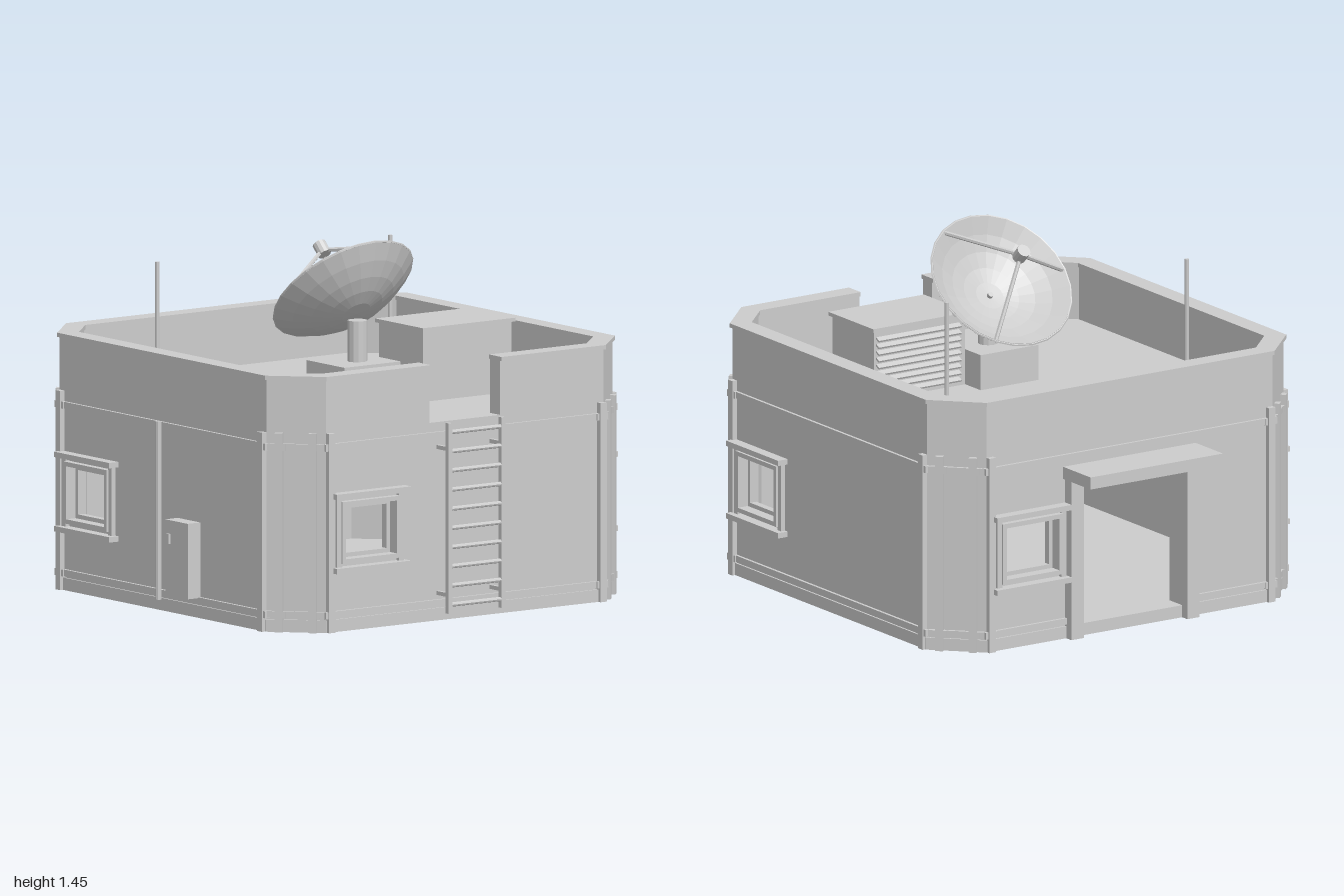
import * as THREE from 'three';

const HALF = 0.861, CHAMFER = 0.17; // octagonal plan
const concrete = new THREE.MeshStandardMaterial({ color: 0xcccccc });
concrete.name = 'concrete grey';
concrete.flatShading = true;
concrete.side = THREE.DoubleSide;

function add(parent, name, geo, x = 0, y = 0, z = 0) {
  const m = new THREE.Mesh(geo, concrete);
  m.name = name;
  m.position.set(x, y, z);
  parent.add(m);
  return m;
}

// Box given by its min and max on each axis
function box(parent, name, x0, x1, y0, y1, z0, z1) {
  return add(parent, name, new THREE.BoxGeometry(x1 - x0, y1 - y0, z1 - z0),
    (x0 + x1) / 2, (y0 + y1) / 2, (z0 + z1) / 2);
}

function rod(parent, name, a, b, r, sides = 8) {
  const m = add(parent, name, new THREE.CylinderGeometry(r, r, a.distanceTo(b), sides));
  m.position.copy(a).lerp(b, 0.5);
  m.quaternion.setFromUnitVectors(new THREE.Vector3(0, 1, 0), b.clone().sub(a).normalize());
  return m;
}
const V = (x, y, z) => new THREE.Vector3(x, y, z);

// Octagon points, starting and ending on the front side
function octagon(h, gap = 0) {
  const f = h - CHAMFER - (h - HALF) * 0.586;
  const p = [[f, -h], [h, -f], [h, f], [f, h], [-f, h], [-h, f], [-h, -f], [-f, -h]];
  if (gap) { p.unshift([gap, -h]); p.push([-gap, -h]); }
  return p.map(([x, y]) => new THREE.Vector2(x, y));
}

function slab(parent, name, points, y0, y1) {
  const geo = new THREE.ExtrudeGeometry(new THREE.Shape(points), { depth: y1 - y0, bevelEnabled: false });
  geo.rotateX(-Math.PI / 2);
  return add(parent, name, geo, 0, y0, 0);
}

function rectPath(x0, x1, y0, y1, Type = THREE.Path) {
  return new Type([[x0, y0], [x1, y0], [x1, y1], [x0, y1]].map(p => new THREE.Vector2(...p)));
}

// Rectangular frame facing +z
function frame(parent, name, cx, cy, w, h, t, z0, z1) {
  const s = rectPath(-w / 2, w / 2, -h / 2, h / 2, THREE.Shape);
  s.holes.push(rectPath(-w / 2 + t, w / 2 - t, -h / 2 + t, h / 2 - t));
  return add(parent, name, new THREE.ExtrudeGeometry(s, { depth: z1 - z0, bevelEnabled: false }), cx, cy, z0);
}

// Vertical strip with a clamp block at each rail
function strip(parent, x, wall) {
  box(parent, 'wallStrip', x - 0.016, x + 0.016, 0, 0.805, wall - 0.01, wall + 0.022);
  for (const y of [0.07, 0.748]) box(parent, 'railClamp', x - 0.028, x + 0.028, y - 0.014, y + 0.014, wall - 0.01, wall + 0.017);
}

function wallSide(isDoor) {
  const g = new THREE.Group();
  const f = HALF - CHAMFER, u = -0.484;
  const s = rectPath(-f, f, 0.01, 0.8, THREE.Shape);
  s.holes.push(rectPath(u - 0.14, u + 0.14, 0.28, 0.52));
  if (isDoor) s.holes.push(rectPath(-0.25, 0.25, 0.05, 0.66));
  add(g, 'wall', new THREE.ExtrudeGeometry(s, { depth: 0.08, bevelEnabled: false }), 0, 0, HALF - 0.08);
  for (const x of [-0.675, 0.675]) strip(g, x, HALF);
  box(g, 'upperRail', -f, f, 0.735, 0.762, HALF - 0.01, HALF + 0.012);
  const spans = isDoor ? [[-f, -0.31], [0.31, f]] : [[-f, f]];
  for (const [a, b] of spans) box(g, 'lowerRail', a, b, 0.058, 0.084, HALF - 0.01, HALF + 0.012);

  // window
  frame(g, 'windowFrame', u, 0.4, 0.29, 0.25, 0.018, HALF - 0.03, HALF + 0.028);
  frame(g, 'windowSash', u, 0.4, 0.26, 0.22, 0.02, HALF - 0.05, HALF - 0.02);
  for (const side of [-1, 1]) box(g, 'windowJamb', u + side * 0.155 - 0.012, u + side * 0.155 + 0.012, 0.25, 0.55, HALF - 0.01, HALF + 0.02);
  for (const y of [0.25, 0.55]) box(g, 'windowSill', u - 0.185, u + 0.185, y - 0.011, y + 0.011, HALF - 0.01, 0.907);
  return g;
}

function cornerFacet() {
  const g = new THREE.Group();
  const d = (2 * HALF - CHAMFER) / Math.SQRT2, w = CHAMFER / Math.SQRT2;
  box(g, 'cornerWall', -w, w, 0.01, 0.8, d - 0.08, d);
  for (const x of [-0.068, 0.068]) strip(g, x, d);
  for (const y of [0.071, 0.748]) box(g, 'cornerRail', -w, w, y - 0.013, y + 0.013, d - 0.01, d + 0.012);
  return g;
}

function dish() {
  const g = new THREE.Group();
  g.name = 'dish';
  // bowl: parabolic profile, outside and back along the inside
  const R = 0.306, D = 0.125, rings = 5, prof = [];
  for (let i = 0; i <= rings; i++) { const r = R * i / rings; prof.push(new THREE.Vector2(r, D * (r / R) ** 2 - D)); }
  for (let i = rings; i >= 0; i--) { const r = R * i / rings; prof.push(new THREE.Vector2(r * 0.985, D * (r / R) ** 2 - D + 0.01)); }
  add(g, 'bowl', new THREE.LatheGeometry(prof, 24));
  add(g, 'rim', new THREE.TorusGeometry(R - 0.001, 0.005, 5, 24).rotateX(Math.PI / 2), 0, 0.005, 0);
  add(g, 'hub', new THREE.CylinderGeometry(0.012, 0.012, 0.02, 10), 0, -D + 0.015, 0);
  add(g, 'feed', new THREE.CylinderGeometry(0.028, 0.028, 0.055, 12), 0, 0.205, 0);
  for (let i = 0; i < 3; i++) {
    const a = Math.PI + i * Math.PI * 2 / 3;
    rod(g, 'feedStrut', V(Math.cos(a) * R * 0.97, 0, Math.sin(a) * R * 0.97), V(0, 0.2, 0), 0.009, 6);
  }
  g.rotation.x = -Math.PI / 4;
  g.position.set(0.012, 1.222, 0.105);
  return g;
}

export function createModel() {
  const model = new THREE.Group();
  model.name = 'rooftopStation';

  // building shell
  const building = new THREE.Group();
  building.name = 'building';
  building.position.set(0.011, 0, 0.056);
  model.add(building);
  slab(building, 'floor', octagon(HALF + 0.008), 0, 0.05);
  slab(building, 'roof', octagon(HALF - 0.004), 0.76, 0.8);
  const ring = (o, i) => [...octagon(o, 0.175), ...octagon(i, 0.175).reverse()];
  slab(building, 'parapet', ring(HALF, 0.795), 0.8, 1.02);
  slab(building, 'parapetCap', ring(HALF + 0.01, 0.788), 1.018, 1.035);
  ['front', 'left', 'back', 'right'].forEach((name, k) => {
    const side = wallSide(name === 'back');
    side.name = name + 'Side';
    side.rotation.y = k * Math.PI / 2;
    const corner = cornerFacet();
    corner.name = name + 'Corner';
    corner.rotation.y = (k + 0.5) * Math.PI / 2;
    building.add(side, corner);
  });

  // back doorway
  for (const x of [-0.28, 0.28]) box(building, 'doorPost', x - 0.03, x + 0.03, 0, 0.66, -0.905, -0.78);
  box(building, 'doorCanopy', -0.32, 0.32, 0.66, 0.71, -1.056, -0.85);

  // front ladder
  for (const x of [-0.122, 0.142]) {
    box(model, 'ladderRail', x - 0.009, x + 0.009, 0.035, 0.805, 0.98, 1);
    for (const y of [0.11, 0.7]) box(model, 'ladderBracket', x - 0.008, x + 0.008, y - 0.008, y + 0.008, 0.91, 0.985);
  }
  for (let i = 0; i < 10; i++) rod(model, 'ladderRung', V(-0.122, 0.07 + i * 0.0775, 0.99), V(0.142, 0.07 + i * 0.0775, 0.99), 0.009);

  // utility box and conduit on the -x wall
  box(model, 'utilityBox', -0.912, -0.84, 0.08, 0.385, 0.155, 0.305);
  box(model, 'utilityHandle', -0.922, -0.91, 0.29, 0.33, 0.17, 0.19);
  rod(model, 'conduit', V(-0.872, 0.045, 0.055), V(-0.872, 0.765, 0.055), 0.012);

  // dish on its pedestal
  box(model, 'dishPedestal', -0.14, 0.14, 0.8, 0.945, 0.06, 0.315);
  rod(model, 'dishPost', V(0.01, 0.94, 0.2), V(0.01, 1.11, 0.2), 0.04, 12);
  model.add(dish());

  // ventilation unit with louvres on its back
  box(model, 'ventUnit', 0.14, 0.58, 0.8, 1.085, 0.17, 0.465);
  box(model, 'ventCap', 0.13, 0.592, 1.085, 1.1, 0.158, 0.477);
  for (let i = 0; i < 9; i++) {
    const slat = box(model, 'louvre', 0.17, 0.57, -0.004, 0.004, 0.15, 0.18);
    slat.position.y = 0.83 + i * 0.028;
    slat.rotation.x = -0.5;
  }

  // roof grid
  for (let i = 0; i <= 4; i++) { const x = -0.572 + i * 0.126; box(model, 'gridBar', x - 0.006, x + 0.006, 0.798, 0.81, -0.46, -0.1); }
  for (let i = 0; i <= 3; i++) { const z = -0.454 + i * 0.116; box(model, 'gridBar', -0.578, -0.062, 0.798, 0.809, z - 0.006, z + 0.006); }

  // antennas
  for (const x of [-0.57, 0.59]) rod(model, 'antenna', V(x, 0.79, -0.36), V(x, 1.33, -0.36), 0.009);

  return model;
}
